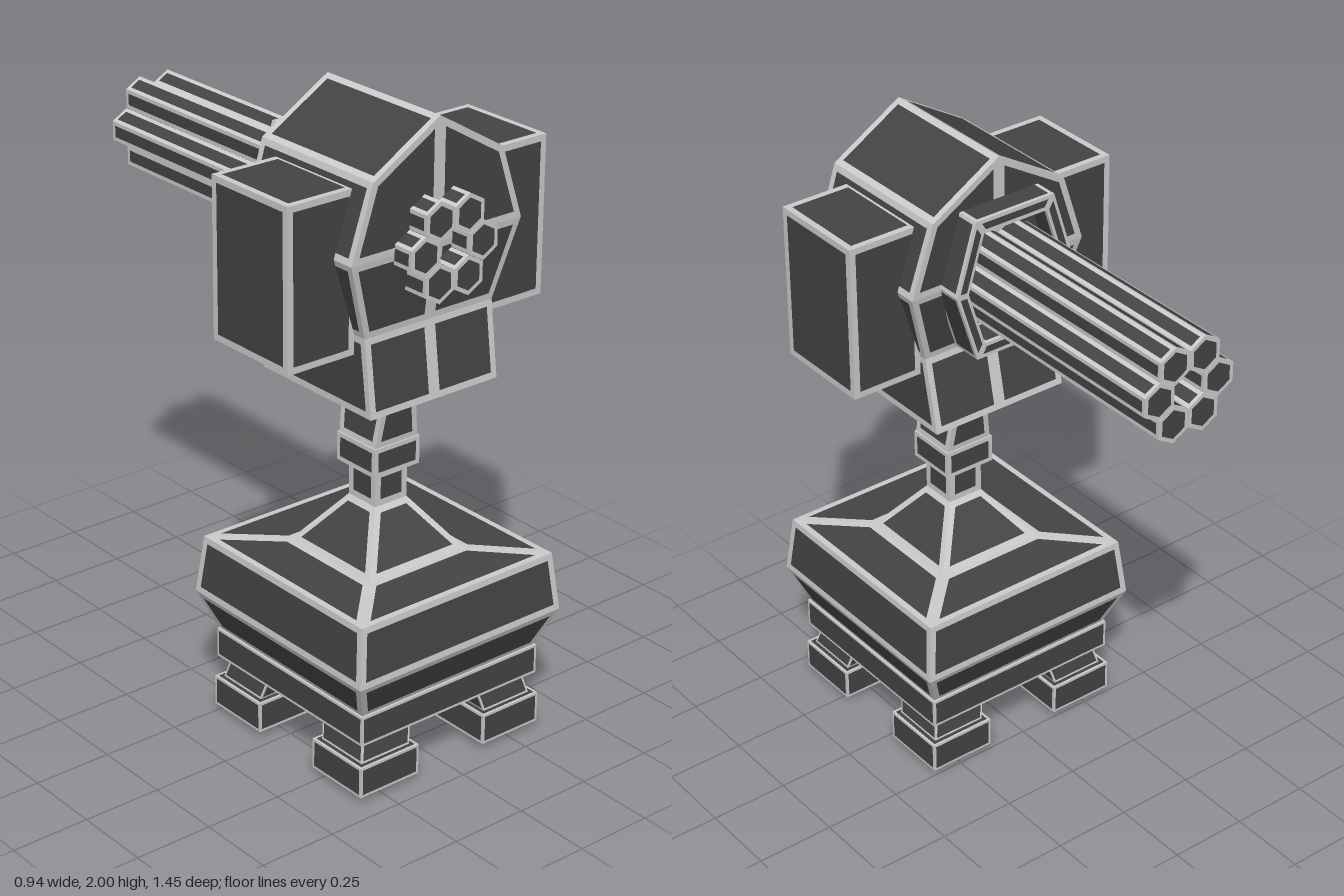
import * as THREE from 'three';

const dark = new THREE.MeshStandardMaterial({ color: 0x444444, flatShading: true });
const light = new THREE.MeshStandardMaterial({ color: 0xcccccc, flatShading: true });
const V = (x, y, z) => new THREE.Vector3(x, y, z);

function triangles(name, points, material) {
  const g = new THREE.BufferGeometry().setFromPoints(points);
  g.computeVertexNormals();
  const mesh = new THREE.Mesh(g, material);
  mesh.name = name;
  return mesh;
}

// Convex faces, each drawn as a dark panel inside a light frame
function framed(name, faces, width = 0.02) {
  const panel = [], trim = [];
  for (const f of faces) {
    const n = f.length;
    const shortest = Math.min(...f.map((p, i) => p.distanceTo(f[(i + 1) % n])));
    const w = Math.min(width, shortest * 0.22);
    const inner = f.map((p, i) => {
      const a = f[(i + 1) % n].clone().sub(p).normalize();
      const b = f[(i + n - 1) % n].clone().sub(p).normalize();
      const s = Math.sin(a.angleTo(b));
      return p.clone().addScaledVector(a.add(b), w / s);
    });
    for (let i = 0; i < n; i++) {
      const j = (i + 1) % n;
      trim.push(f[i], f[j], inner[j], f[i], inner[j], inner[i]);
      if (i > 0 && i < n - 1) panel.push(inner[0], inner[i], inner[j]);
    }
  }
  const group = new THREE.Group();
  group.name = name;
  group.add(triangles(name + 'Panels', panel, dark), triangles(name + 'Trim', trim, light));
  return group;
}

// Faces joining cross-sections that run counter-clockwise about the loft direction
function loft(rings, caps = true) {
  const faces = [];
  for (let k = 0; k < rings.length - 1; k++) {
    const lo = rings[k], hi = rings[k + 1];
    lo.forEach((p, i) => {
      const j = (i + 1) % lo.length;
      faces.push([p, lo[j], hi[j], hi[i]]);
    });
  }
  if (caps) faces.push([...rings[0]].reverse(), rings[rings.length - 1]);
  return faces;
}

// Horizontal rectangle: height, half width, half depth, centre
const rect = (y, hx, hz = hx, cx = 0, cz = 0) =>
  [[1, 1], [1, -1], [-1, -1], [-1, 1]].map(([sx, sz]) => V(cx + sx * hx, y, cz + sz * hz));

// Upright hexagon with a point at the top
const hexagon = (cx, cy, r, z) => Array.from({ length: 6 }, (_, i) => {
  const a = Math.PI / 6 + i * Math.PI / 3;
  return V(cx + r * Math.cos(a), cy + r * Math.sin(a), z);
});

function makeHead() {
  // Rows: height, half width, back z, front z
  const rows = [
    [1.16, 0.235, 0.11, 0.59], [1.395, 0.235, 0.16, 0.56], [1.635, 0.31, 0.115, 0.59],
    [1.86, 0.235, 0.11, 0.59], [2, 0, 0.11, 0.59],
  ];
  const outline = (k) => [
    ...rows.map((r) => V(r[1], r[0], r[k])),
    ...rows.slice(0, 4).reverse().map((r) => V(-r[1], r[0], r[k])),
  ];
  const faces = loft([outline(2), outline(3)], false);
  // Front and back, split down the middle
  for (const [k, end] of [[2, -1], [3, 1]]) for (const side of [1, -1]) {
    const at = (i, x) => V(side * x, rows[i][0], rows[i][k]);
    const patches = [0, 1].map((i) =>
      [at(i, 0), at(i, rows[i][1]), at(i + 1, rows[i + 1][1]), at(i + 1, 0)]);
    patches.push([at(2, 0), at(2, 0.31), at(3, 0.235), at(4, 0)]);
    for (const p of patches) faces.push(side * end > 0 ? p : p.reverse());
  }
  return framed('head', faces);
}

// Hexagonal collar, open in the middle where the barrels pass
function makeCollar() {
  const ring = (s, z) => [[0.14, -0.225], [0.21, 0], [0.14, 0.225], [-0.14, 0.225], [-0.21, 0], [-0.14, -0.225]]
    .map(([x, y]) => V(x * s, 1.643 + y * s, z));
  const outer = loft([ring(1, 0.035), ring(1, 0.14)], false);
  const rim = loft([ring(0.8, 0.035), ring(1, 0.035)], false);
  const bore = loft([ring(0.8, 0.14), ring(0.8, 0.035)], false);
  return framed('barrelCollar', [...outer, ...rim, ...bore], 0.012);
}

export function createModel() {
  const model = new THREE.Group();
  model.name = 'turret';

  // Base, stem and legs share one centre line
  const stand = new THREE.Group();
  stand.name = 'stand';
  stand.position.set(0.007, 0, 0.34);
  model.add(stand);

  stand.add(framed('skirt', loft([rect(0.19, 0.34), rect(0.285, 0.34)]), 0.008));
  stand.add(framed('base', loft([
    rect(0.28, 0.33), rect(0.41, 0.385), rect(0.595, 0.365),
    rect(0.6, 0.182), rect(0.76, 0.06), rect(0.87, 0.06),
  ])));
  stand.add(framed('stemCollar', loft([rect(0.87, 0.085), rect(0.96, 0.085)]), 0.014));
  stand.add(framed('stem', loft([rect(0.96, 0.08, 0.08), rect(1.17, 0.05, 0.1)]), 0.018));

  // Four legs leaning outwards to block feet with round studs
  for (const sx of [1, -1]) for (const sz of [1, -1]) {
    const x = sx * 0.237, z = sz * 0.235;
    const leg = new THREE.Group();
    leg.name = 'leg';
    leg.add(framed('shin', loft([
      rect(0.12, 0.09, 0.09, x, z), rect(0.2, 0.09, 0.09, x - sx * 0.02, z - sz * 0.02),
    ]), 0.006));
    leg.add(framed('foot', loft([rect(0.022, 0.11, 0.11, x, z), rect(0.12, 0.11, 0.11, x, z)]), 0.008));
    const stud = new THREE.Mesh(new THREE.CylinderGeometry(0.05, 0.05, 0.03, 8), dark);
    stud.name = 'footStud';
    stud.position.set(x, 0.015, z);
    leg.add(stud);
    stand.add(leg);
  }

  // Head with a box on each side
  model.add(makeHead(), makeCollar());
  for (const [name, s] of [['leftBox', 1], ['rightBox', -1]]) {
    model.add(framed(name, loft([
      rect(1.335, 0.1175, 0.165, s * 0.3525, 0.35), rect(1.825, 0.1175, 0.165, s * 0.3525, 0.35),
    ])));
  }

  // Six hexagonal barrels around an open centre
  for (let i = 0; i < 6; i++) {
    const a = i * Math.PI / 3;
    const cx = 0.105 * Math.cos(a), cy = 1.635 + 0.105 * Math.sin(a);
    model.add(framed('barrel', loft([hexagon(cx, cy, 0.06, -0.725), hexagon(cx, cy, 0.06, 0.66)]), 0.012));
  }
  return model;
}
